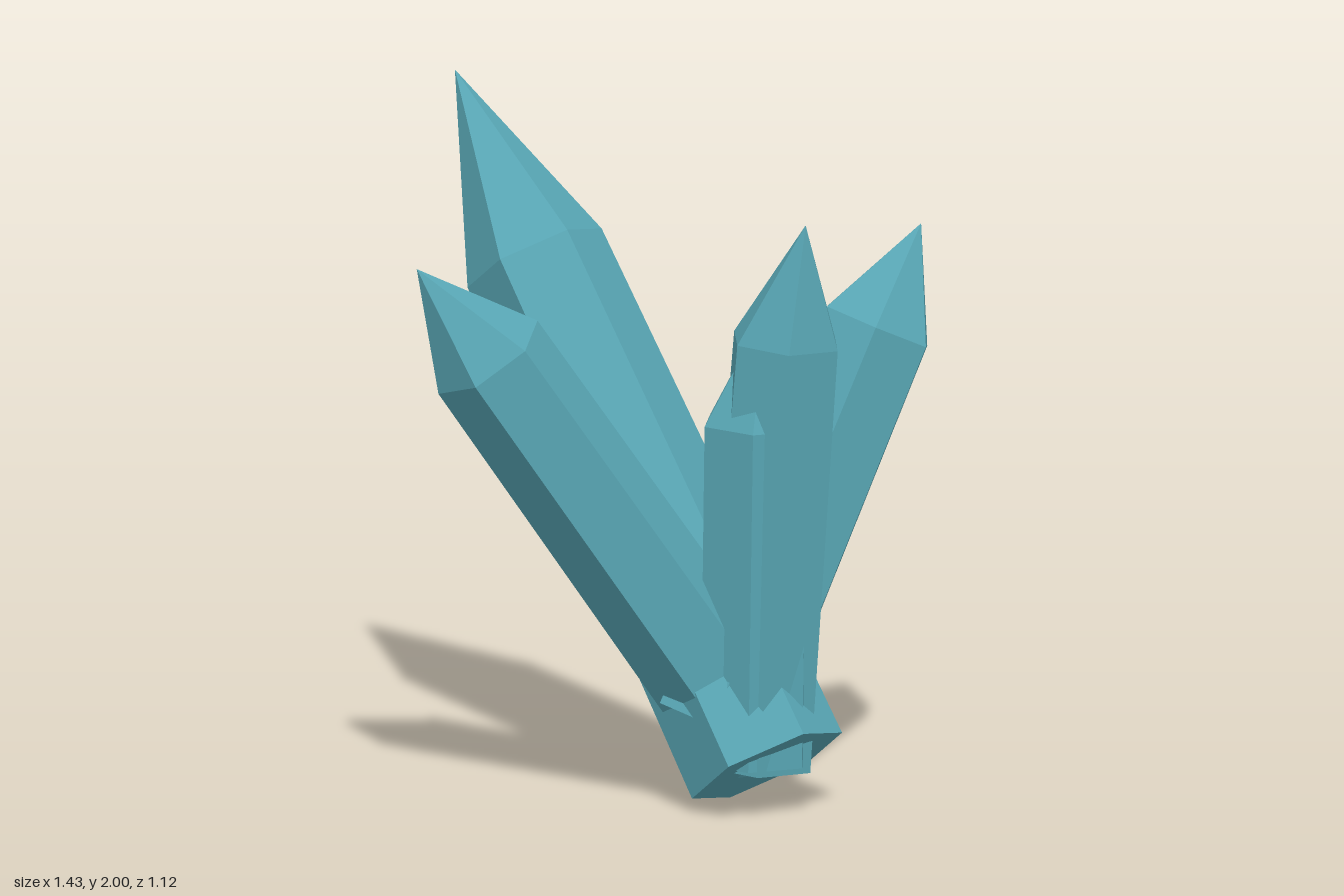
import * as THREE from 'three';

const SIDES = 6;

// Each crystal: base centre, base radius, shoulder centre, shoulder radius, tip,
// and a direction that one of its long edges faces.
const CRYSTALS = [
  { name: 'tallBackCrystal', base: [0.28, 0.13, 0.205], r0: 0.237, shoulder: [-0.45, 1.49, -0.36], r1: 0.212, tip: [-0.7, 2, -0.55], edge: [0.12, 0.13, 0.155] },
  { name: 'frontLeaningCrystal', base: [0.26, 0.17, 0.1], r0: 0.185, shoulder: [-0.51, 1.36, 0.395], r1: 0.178, tip: [-0.71, 1.63, 0.46], edge: [0.15, 0.09, -0.05] },
  { name: 'sideCrystal', base: [0.12, 0.24, 0.16], r0: 0.19, shoulder: [0.57, 1.37, -0.09], r1: 0.178, tip: [0.69, 1.66, -0.165], edge: [-0.02, -0.05, -0.17] },
  { name: 'uprightCrystal', base: [0.24, 0.13, 0.16], r0: 0.18, shoulder: [0.335, 1.385, 0.205], r1: 0.168, tip: [0.4, 1.745, 0.285], edge: [0.155, 0, 0.06] },
  { name: 'shortCrystal', base: [0.24, 0.14, 0.18], r0: 0.17, shoulder: [0.255, 1.14, 0.19], r1: 0.172, tip: [0.28, 1.48, 0.2], edge: [0, 0, -1] },
];

// Six-sided prism with a flat foot and a pointed end
function crystalGeometry({ base, r0, shoulder, r1, tip, edge }) {
  const foot = new THREE.Vector3(...base);
  const neck = new THREE.Vector3(...shoulder);
  const point = new THREE.Vector3(...tip);
  const axis = neck.clone().sub(foot).normalize();
  const u = new THREE.Vector3(...edge).projectOnPlane(axis).normalize();
  const v = axis.clone().cross(u);
  const ring = (centre, r) => Array.from({ length: SIDES }, (_, i) => {
    const a = (i / SIDES) * Math.PI * 2;
    return centre.clone().addScaledVector(u, r * Math.cos(a)).addScaledVector(v, r * Math.sin(a));
  });
  const low = ring(foot, r0);
  const high = ring(neck, r1);
  const corners = [];
  for (let i = 0; i < SIDES; i++) {
    const j = (i + 1) % SIDES;
    corners.push(low[i], low[j], high[j], low[i], high[j], high[i]); // long face
    corners.push(high[i], high[j], point); // tip facet
    corners.push(foot, low[j], low[i]); // foot
  }
  const geometry = new THREE.BufferGeometry().setFromPoints(corners);
  geometry.computeVertexNormals();
  return geometry;
}

export function createModel() {
  const group = new THREE.Group();
  group.name = 'crystalCluster';
  const material = new THREE.MeshStandardMaterial({ color: 0x58a6b4 });
  material.name = 'tealCrystal';
  material.flatShading = true;

  for (const spec of CRYSTALS) {
    const mesh = new THREE.Mesh(crystalGeometry(spec), material);
    mesh.name = spec.name;
    group.add(mesh);
  }
  return group;
}
